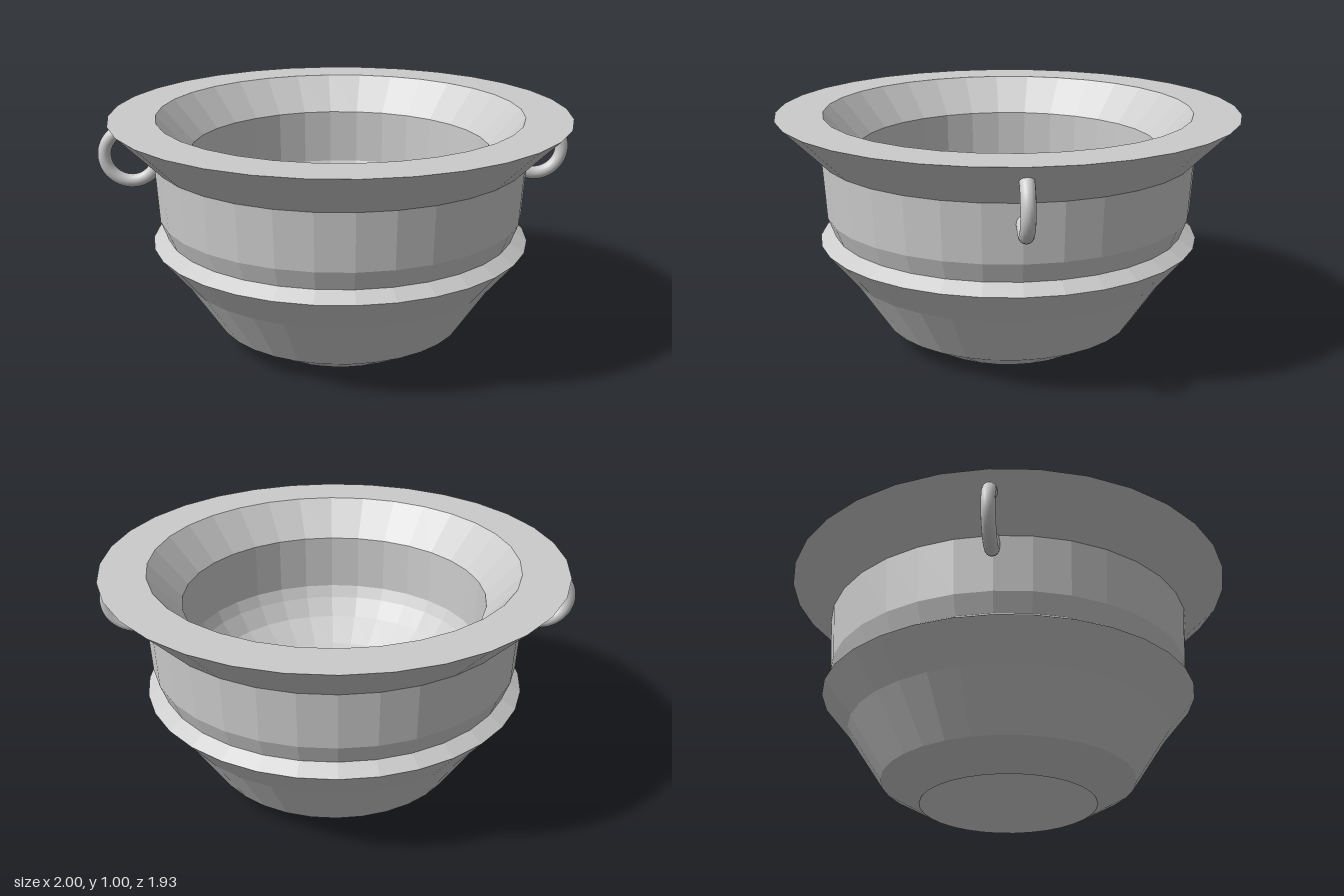
import * as THREE from 'three';

export function createModel() {
  const group = new THREE.Group();
  const faceted = new THREE.MeshStandardMaterial({ color: 0xcccccc, flatShading: true });
  const smooth = new THREE.MeshStandardMaterial({ color: 0xcccccc });

  // Closed profile [radius, height], from the base recess up the outside and down into the bowl
  const profile = [
    [0, 0.24], [0.17, 0.24], [0.372, 0],                       // recess under the base
    [0.537, 0.094], [0.685, 0.32], [0.802, 0.465],             // lower body
    [0.742, 0.503], [0.772, 0.583], [0.785, 0.82],             // ridge, neck and upper wall
    [0.965, 1], [0.77, 1],                                     // flared rim
    [0.635, 0.85], [0.63, 0.61], [0.605, 0.56],                // inner wall
    [0.55, 0.485], [0.43, 0.4], [0.29, 0.335], [0.145, 0.305], [0, 0.295], // bowl floor
  ].map(([r, y]) => new THREE.Vector2(r, y));

  const pot = new THREE.Mesh(new THREE.LatheGeometry(profile, 32), faceted);
  pot.name = 'pot';
  pot.position.x = 0.018;
  group.add(pot);

  // Ring handles sunk into the wall on both sides
  for (const side of [-1, 1]) {
    const ring = new THREE.Mesh(new THREE.TorusGeometry(0.112, 0.028, 16, 48), smooth);
    ring.name = side > 0 ? 'leftRingHandle' : 'rightRingHandle';
    ring.position.set(side * 0.86, 0.832, 0);
    group.add(ring);
  }

  return group;
}
